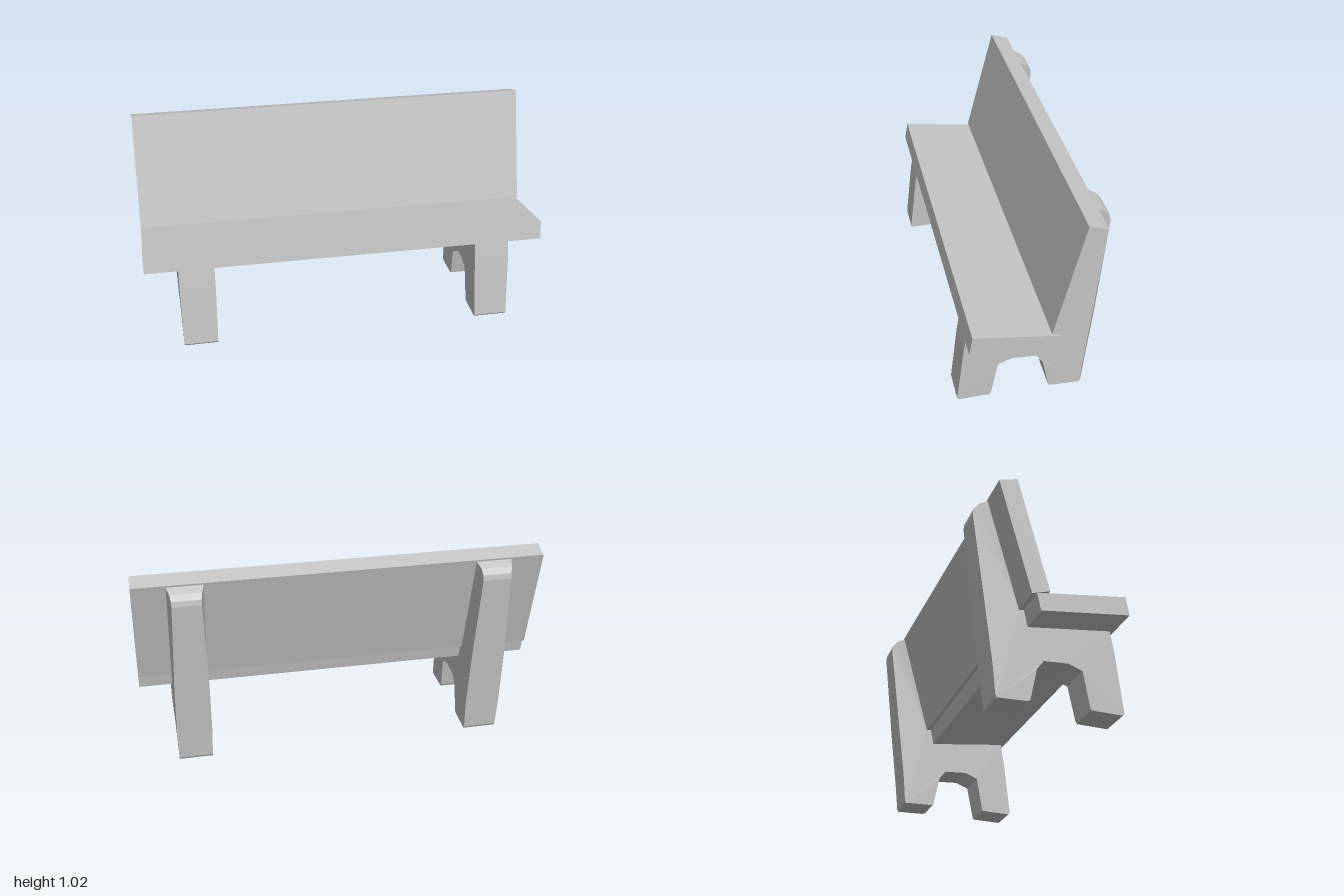
import * as THREE from 'three';

const paint = new THREE.MeshStandardMaterial({ color: 0xc4c4c4 });
paint.name = 'plain grey';

// Extrudes a side profile of [z, y] points across x, centred on x = 0
function sideExtrude(points, width) {
  const shape = new THREE.Shape(points.map(([z, y]) => new THREE.Vector2(z, y)));
  const geometry = new THREE.ExtrudeGeometry(shape, { depth: width, bevelEnabled: false });
  geometry.translate(0, 0, -width / 2);
  geometry.rotateY(-Math.PI / 2);
  return geometry;
}

function part(name, geometry) {
  const mesh = new THREE.Mesh(geometry, paint);
  mesh.name = name;
  return mesh;
}

export function createModel() {
  const bench = new THREE.Group();
  bench.name = 'bench';

  // Seat plank, sloping down to the back
  bench.add(part('seat', sideExtrude(
    [[0.307, 0.505], [0.322, 0.415], [-0.1, 0.367], [-0.117, 0.451]], 2)));

  // Leaning backrest plank
  bench.add(part('backrest', sideExtrude(
    [[-0.2, 1.025], [-0.055, 0.469], [-0.14, 0.445], [-0.288, 1.001]], 2)));

  // Supports: two feet with an arch between, and a tall rear post
  const profile = [
    [-0.288, 0.993], [-0.14, 0.445], [-0.117, 0.45], [-0.1, 0.367], [0.3, 0.412],
    [0.318, 0.3], [0.353, 0.012], [0.345, 0.003], [0.195, 0.008], [0.189, 0.02],
    [0.157, 0.19], [0.09, 0.217], [-0.027, 0.211], [-0.06, 0.168], [-0.092, 0.015],
    [-0.11, 0.01], [-0.245, 0.008], [-0.252, 0.022], [-0.265, 0.16], [-0.3, 0.45],
    [-0.354, 0.92], [-0.35, 0.947], [-0.33, 0.974],
  ];
  const support = sideExtrude(profile, 0.176);

  // Narrow the rear edge towards the top of the post
  const p = support.attributes.position;
  for (let i = 0; i < p.count; i++) {
    const rear = THREE.MathUtils.clamp((-0.29 - p.getZ(i)) / 0.06, 0, 1);
    const low = p.getY(i) < 0.1 ? 0.95 : 1;
    p.setX(i, p.getX(i) * (1 - 0.2 * rear) * low);
  }
  support.computeVertexNormals();

  for (const side of [-1, 1]) {
    const mesh = part(side > 0 ? 'leftSupport' : 'rightSupport', support);
    mesh.position.x = side * 0.748;
    bench.add(mesh);
  }
  return bench;
}
